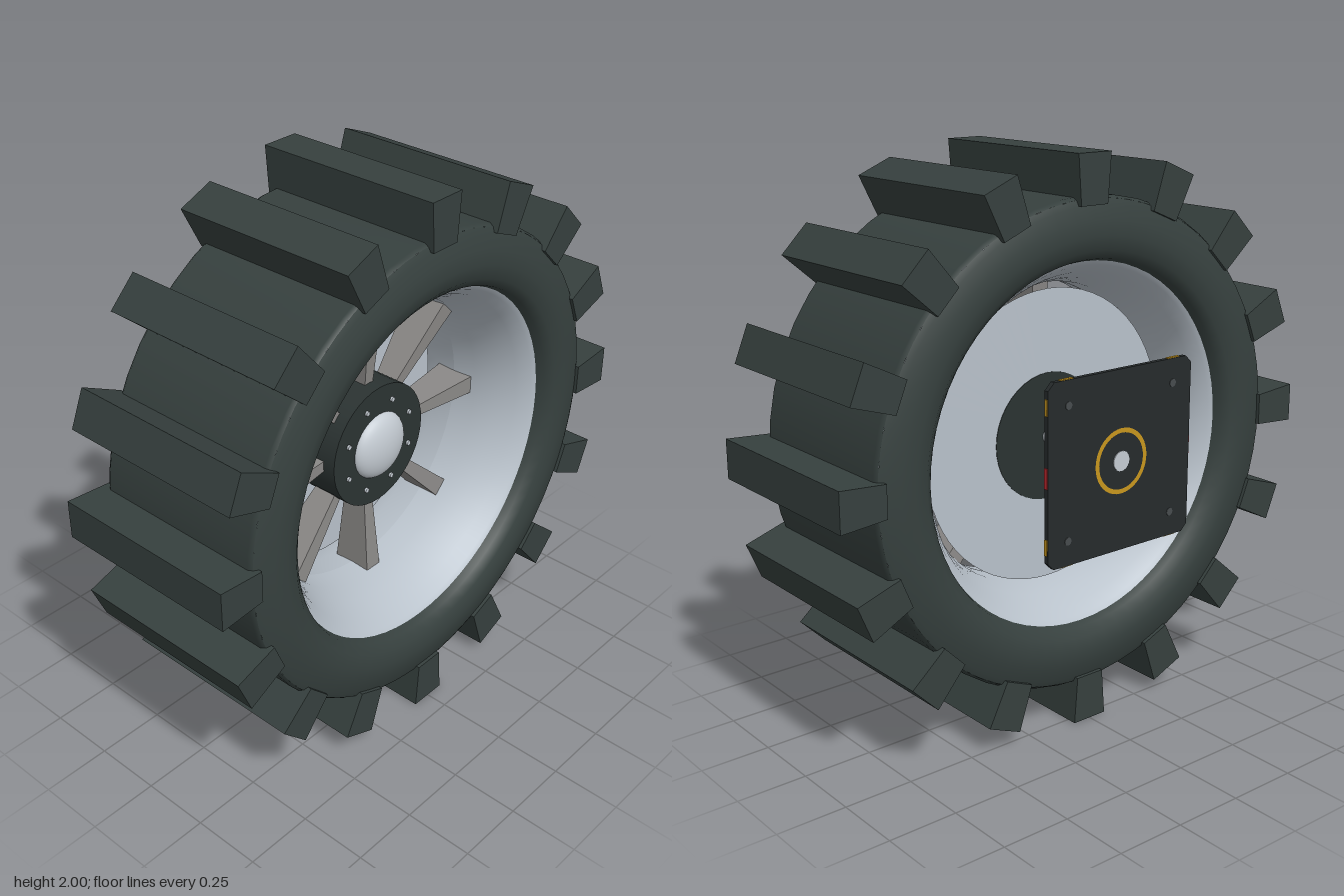
import * as THREE from 'three';

const mat = (name, color, side = THREE.FrontSide) => {
  const m = new THREE.MeshStandardMaterial({ color, side });
  m.name = name;
  return m;
};

export function createModel() {
  const model = new THREE.Group();
  model.name = 'wheelWithMount';
  const rubber = mat('rubber', 0x36403e);
  const hubDark = mat('hubDark', 0x2b3332);
  const rimGrey = mat('rimGrey', 0xb9c2cb, THREE.DoubleSide);
  const spokeGrey = mat('spokeGrey', 0x8b8987);
  const steel = mat('steel', 0xc4cbd2);
  const plateDark = mat('plateDark', 0x262b2c);
  const bracketGrey = mat('bracketGrey', 0x474c4e);
  const gold = mat('gold', 0xc8961e);
  const red = mat('red', 0xc42a30);

  const MID = 0.067; // middle of the wheel along the axle
  const add = (parent, name, geo, material, x = 0, y = 0, z = 0) => {
    const m = new THREE.Mesh(geo, material);
    m.name = name;
    m.position.set(x, y, z);
    parent.add(m);
    return m;
  };
  const wheel = new THREE.Group();
  wheel.name = 'wheel';
  wheel.position.y = 1;
  model.add(wheel);

  // Lathe and cylinder helpers with the axis along x
  const lathe = (pts, seg) =>
    new THREE.LatheGeometry(pts.map(([r, x]) => new THREE.Vector2(r, x)), seg).rotateZ(-Math.PI / 2);
  const rod = (r0, r1, x0, x1, seg = 32) =>
    new THREE.CylinderGeometry(r1, r0, x1 - x0, seg).rotateZ(-Math.PI / 2).translate((x0 + x1) / 2, 0, 0);
  const mirrored = (half) => [
    ...half.map(([r, d]) => [r, MID - d]),
    ...half.slice().reverse().map(([r, d]) => [r, MID + d]),
  ];

  // Tyre: bulging sidewalls, then a separate flat tread band for a crisp shoulder
  const side = [[0.635, 0.28], [0.65, 0.325], [0.68, 0.35], [0.73, 0.361], [0.78, 0.355], [0.83, 0.34], [0.85, 0.33]];
  add(wheel, 'tyreSideInner', lathe(side.map(([r, d]) => [r, MID - d]), 64), rubber);
  add(wheel, 'tyreSideOuter', lathe(side.map(([r, d]) => [r, MID + d]).reverse(), 64), rubber);
  add(wheel, 'tyreTread', lathe(mirrored([[0.85, 0.33], [0.86, 0.315]]), 48), rubber);

  // Sixteen tread lugs, slightly wider at the tip
  const lugShape = new THREE.Shape([
    new THREE.Vector2(-0.057, 0.83), new THREE.Vector2(0.057, 0.83),
    new THREE.Vector2(0.07, 1), new THREE.Vector2(-0.07, 1),
  ]);
  const lugGeo = new THREE.ExtrudeGeometry(lugShape, { depth: 0.705, bevelEnabled: false })
    .rotateY(Math.PI / 2).translate(-0.286, 0, 0);
  for (let i = 0; i < 16; i++) {
    add(wheel, 'treadLug', lugGeo, rubber).rotation.x = (i * Math.PI) / 8;
  }

  // Rim barrel, narrowest at the middle, facing the axle
  const barrel = [[0.645, 0.3], [0.625, 0.285], [0.595, 0.24], [0.565, 0.17], [0.542, 0.09], [0.536, 0.0]];
  add(wheel, 'rimBarrel', lathe(mirrored(barrel).reverse(), 64), rimGrey);
  add(wheel, 'rimDisc', new THREE.RingGeometry(0.22, 0.525, 64).rotateY(Math.PI / 2), rimGrey, -0.05);

  // Hub with domed cap and bolts
  add(wheel, 'hub', rod(0.23, 0.23, -0.052, 0.16, 40), hubDark);
  const dome = new THREE.SphereGeometry(0.125, 32, 12, 0, Math.PI * 2, 0, Math.PI / 2).rotateZ(-Math.PI / 2);
  add(wheel, 'hubCap', dome, steel, 0.155).scale.x = 0.45;
  const boltGeo = rod(0.009, 0.009, 0.155, 0.168, 8);
  for (let i = 0; i < 8; i++) {
    const a = ((i + 0.5) * Math.PI) / 4;
    add(wheel, 'hubBolt', boltGeo, steel, 0, 0.17 * Math.cos(a), 0.17 * Math.sin(a));
  }

  // Eight spokes, flaring toward the rim
  const spokeGeo = new THREE.BoxGeometry(1, 0.335, 1);
  const p = spokeGeo.attributes.position;
  for (let i = 0; i < p.count; i++) {
    const outer = p.getY(i) > 0;
    p.setX(i, p.getX(i) * (outer ? 0.15 : 0.085));
    p.setZ(i, p.getZ(i) * (outer ? 0.068 : 0.038));
  }
  spokeGeo.translate(MID, 0.3725, 0);
  spokeGeo.computeVertexNormals();
  for (let i = 0; i < 8; i++) {
    add(wheel, 'spoke', spokeGeo, spokeGrey).rotation.x = (i * Math.PI) / 4;
  }

  // Mounting bracket: stacked square plates with clipped corners
  const mount = new THREE.Group();
  mount.name = 'mount';
  mount.position.y = 1;
  model.add(mount);
  const plate = (name, h, c, x0, x1, material) => {
    const k = h - c;
    const s = new THREE.Shape([[k, -h], [h, -k], [h, k], [k, h], [-k, h], [-h, k], [-h, -k], [-k, -h]]
      .map(([a, b]) => new THREE.Vector2(a, b)));
    const g = new THREE.ExtrudeGeometry(s, { depth: x1 - x0, bevelEnabled: false });
    add(mount, name, g.rotateY(Math.PI / 2), material, x0);
  };
  plate('backPlate', 0.315, 0.025, -0.43, -0.412, plateDark);
  plate('bracketBody', 0.265, 0.03, -0.412, -0.37, bracketGrey);
  plate('bracketStep', 0.185, 0.03, -0.37, -0.312, plateDark);

  // Coloured strips on the edges of the bracket
  for (const s of [-1, 1]) {
    add(mount, 'goldSideStrip', new THREE.BoxGeometry(0.03, 0.4, 0.006), gold, -0.39, 0, s * 0.266);
    add(mount, 'redTopStrip', new THREE.BoxGeometry(0.032, 0.006, 0.31), red, -0.39, s * 0.266, 0);
    add(mount, 'redEdgeMark', new THREE.BoxGeometry(0.014, 0.07, 0.006), red, -0.421, 0, s * 0.315);
    for (const t of [-1, 1]) {
      add(mount, 'goldEdgeMark', new THREE.BoxGeometry(0.012, 0.055, 0.006), gold, -0.421, t * 0.235, s * 0.315);
      add(mount, 'goldTopMark', new THREE.BoxGeometry(0.012, 0.006, 0.055), gold, -0.421, s * 0.315, t * 0.235);
      add(mount, 'plateScrew', rod(0.014, 0.014, -0.432, -0.42, 12), bracketGrey, 0, s * 0.23, t * 0.23);
      add(mount, 'stepScrew', rod(0.016, 0.016, -0.32, -0.306, 12), bracketGrey, 0, s * 0.14, t * 0.14);
    }
  }

  // Gold ring and axle end on the back, red button and axle toward the wheel
  const ring = new THREE.RingGeometry(0.098, 0.114, 40).rotateY(-Math.PI / 2);
  add(mount, 'goldRing', ring, gold, -0.4315);
  add(mount, 'axleEnd', rod(0.035, 0.035, -0.433, -0.42, 20), steel);
  add(mount, 'redButton', rod(0.05, 0.045, -0.315, -0.298, 20), red, 0, 0, 0.14).scale.z = 0.6;
  add(mount, 'axle', rod(0.025, 0.025, -0.32, -0.04, 20), steel);

  return model;
}
